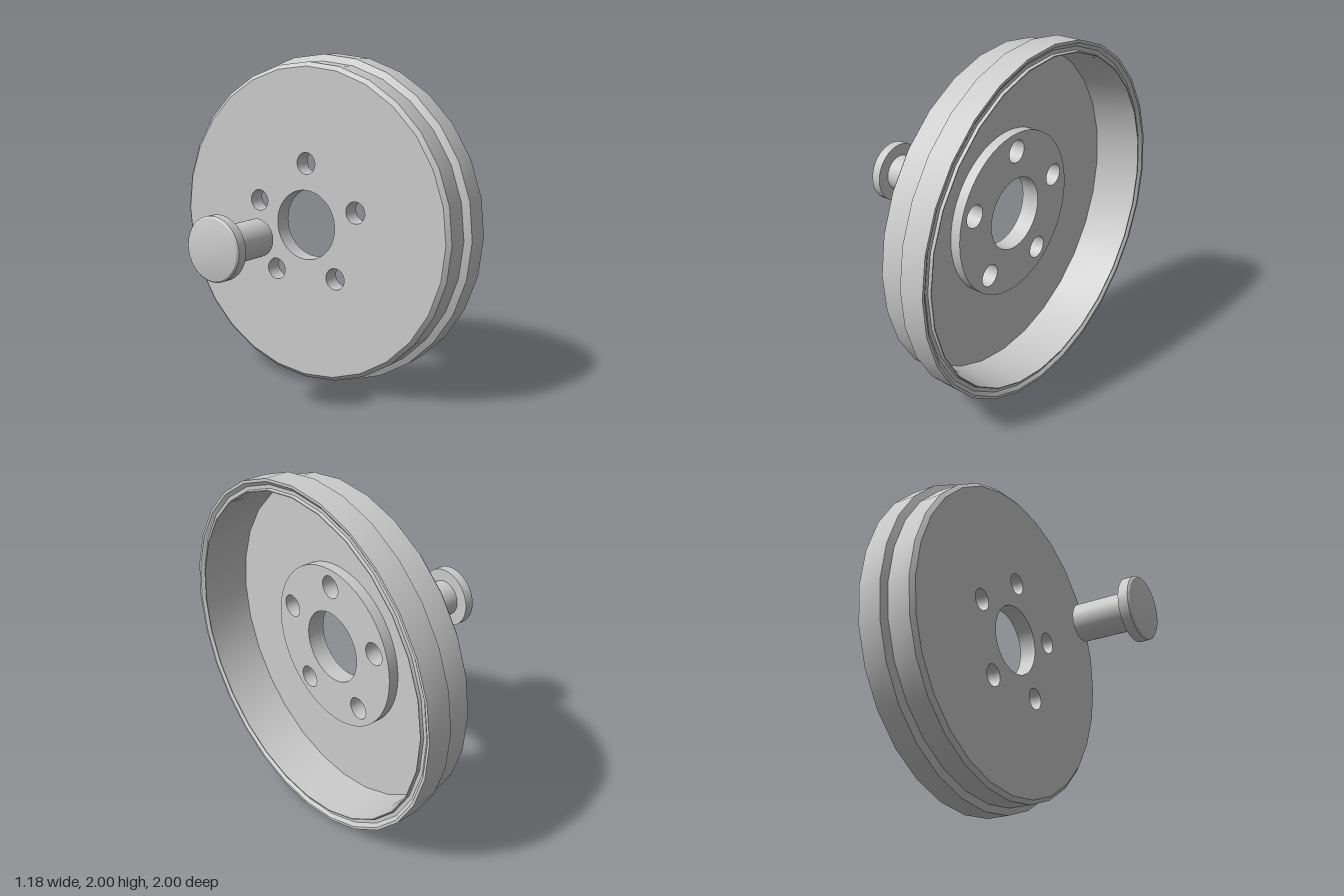
import * as THREE from 'three';
import { toCreasedNormals } from 'three/addons/utils/BufferGeometryUtils.js';

const CREASE = Math.PI / 7;
const material = new THREE.MeshStandardMaterial({ color: 0xcccccc });

function addMesh(group, name, geometry) {
  const mesh = new THREE.Mesh(toCreasedNormals(geometry, CREASE), material);
  mesh.name = name;
  group.add(mesh);
}

// Revolves [radius, x] pairs about the x axis.
function turned(profile, sides) {
  const points = profile.map(([r, x]) => new THREE.Vector2(r, x));
  return new THREE.LatheGeometry(points, sides).rotateZ(-Math.PI / 2);
}

function circle(radius, sides, cx = 0, cy = 0) {
  return Array.from({ length: sides }, (_, i) => {
    const a = (i / sides) * Math.PI * 2;
    return new THREE.Vector2(cx + radius * Math.cos(a), cy + radius * Math.sin(a));
  });
}

// Disc from x0 to x1 with the centre bore and five stud holes.
function drilledDisc(radius, sides, x0, x1) {
  const shape = new THREE.Shape(circle(radius, sides));
  shape.holes.push(new THREE.Path(circle(0.21, 48)));
  for (let i = 0; i < 5; i++) {
    const a = Math.PI / 2 + (i * Math.PI * 2) / 5;
    shape.holes.push(new THREE.Path(circle(0.065, 32, 0.37 * Math.cos(a), 0.37 * Math.sin(a))));
  }
  return new THREE.ExtrudeGeometry(shape, { depth: x1 - x0, bevelEnabled: false })
    .rotateY(Math.PI / 2).translate(x0, 0, 0);
}

export function createModel() {
  const model = new THREE.Group();
  model.name = 'brakeDrum';

  // Drum: stepped outer wall, rim lip and slightly tapered inner wall
  const drum = new THREE.Group();
  drum.name = 'drum';
  addMesh(drum, 'drumWall', turned([
    [0.935, 0.265], [0.96, 0.287], [0.96, 0.425], [1, 0.445], [1, 0.587],
    [0.985, 0.587], [0.965, 0.572], [0.945, 0.572], [0.94, 0.587], [0.935, 0.587],
    [0.92, 0.31],
  ], 28));
  addMesh(drum, 'drumFloor', drilledDisc(0.935, 28, 0.265, 0.31));
  addMesh(drum, 'hubPlate', drilledDisc(0.475, 56, 0.31, 0.37));

  // Separate pin with a shallow domed head
  const head = [[0, -0.59]];
  for (let i = 1; i <= 6; i++) {
    const t = i / 6;
    head.push([0.17 * t, -0.59 + 0.02 * t * t]);
  }
  head.push([0.18, -0.56], [0.18, -0.503], [0.108, -0.503], [0.108, -0.183], [0, -0.183]);
  // Profile runs toward +x, so normals face outward
  const pin = new THREE.Group();
  pin.name = 'pin';
  addMesh(pin, 'headedPin', turned(head, 48));

  model.add(drum, pin);
  model.position.y = 1;
  const root = new THREE.Group();
  root.add(model);
  return root;
}
